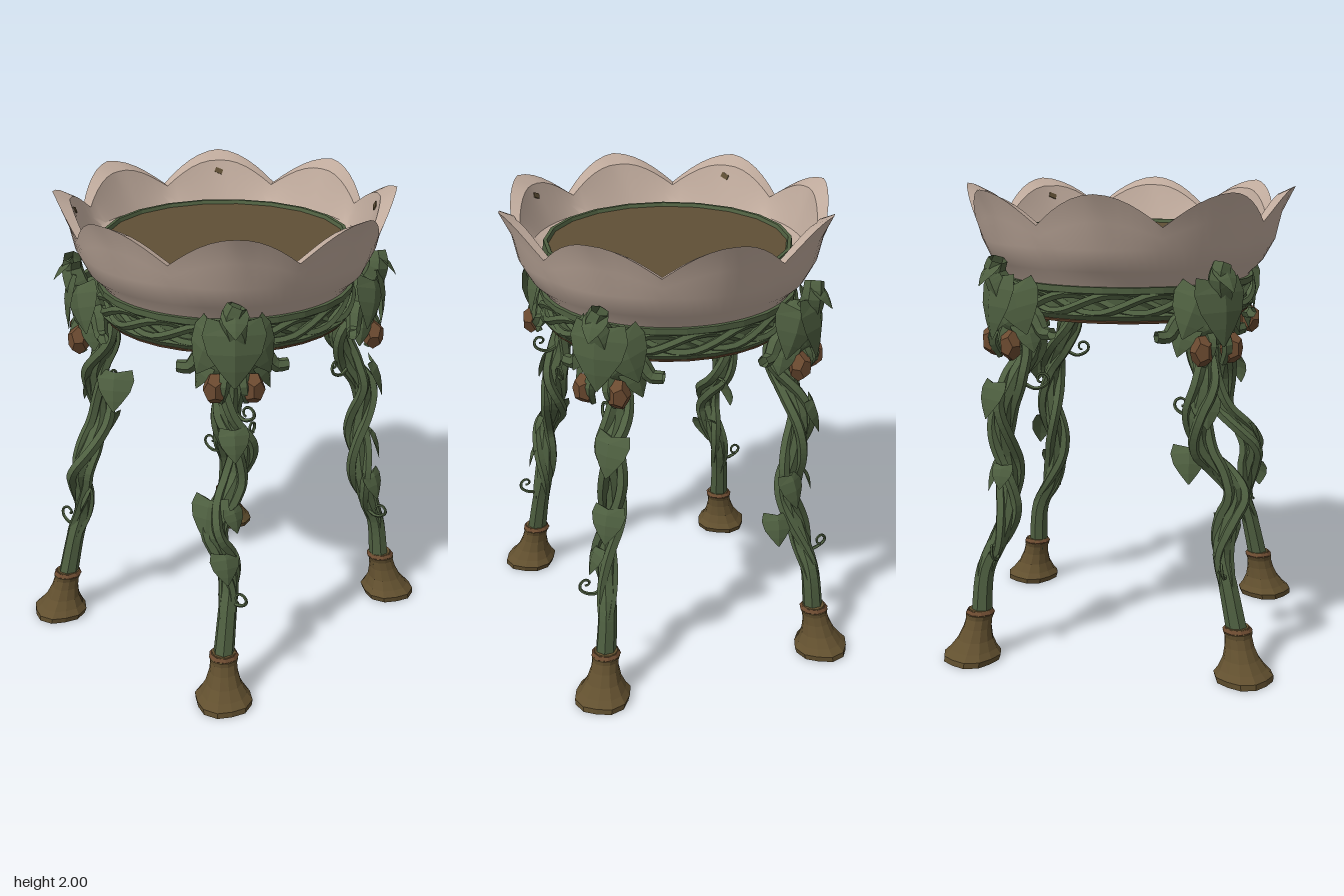
import * as THREE from 'three';
import { toCreasedNormals } from 'three/addons/utils/BufferGeometryUtils.js';

const mat = (name, color) => {
  const m = new THREE.MeshStandardMaterial({ color, side: THREE.DoubleSide });
  m.name = name;
  return m;
};
const V = (x, y, z) => new THREE.Vector3(x, y, z);

const flat = (g) => {
  const f = g.index ? g.toNonIndexed() : g;
  f.computeVertexNormals();
  return f;
};

const lathe = (profile, sides) => new THREE.LatheGeometry(profile.map((p) => new THREE.Vector2(...p)), sides);

function add(parent, name, geometry, material) {
  const m = new THREE.Mesh(geometry, material);
  m.name = name;
  parent.add(m);
  return m;
}

// Tube whose thickness follows radiusAt(t)
function taperedTube(points, radiusAt, segs = 24, sides = 6, closed = false) {
  const curve = new THREE.CatmullRomCurve3(points, closed);
  const g = new THREE.TubeGeometry(curve, segs, 1, sides, closed);
  const p = g.attributes.position, v = V(0, 0, 0);
  for (let i = 0; i < p.count; i++) {
    const t = Math.floor(i / (sides + 1)) / segs;
    const c = curve.getPointAt(closed ? t % 1 : t);
    v.fromBufferAttribute(p, i).sub(c).multiplyScalar(radiusAt(t)).add(c);
    p.setXYZ(i, v.x, v.y, v.z);
  }
  return flat(g);
}

// Heart-shaped leaf hanging down, folded on its midrib, facing +z
function leafGeometry(size) {
  const widths = [0.12, 0.42, 0.5, 0.42, 0.24, 0.02];
  const heights = [0.04, 0.12, -0.15, -0.45, -0.72, -1];
  const pos = [], idx = [];
  widths.forEach((w, i) => {
    const bend = Math.sin(i / 5 * Math.PI) * 0.14;
    const mid = i === 0 ? 0 : heights[i] - (i === 1 ? 0.1 : 0);
    pos.push(-w, heights[i], bend - w * 0.3, 0, mid, bend, w, heights[i], bend - w * 0.3);
  });
  for (let i = 0; i < 5; i++) for (let j = 0; j < 2; j++) {
    const a = i * 3 + j, b = a + 3;
    idx.push(a, b, a + 1, a + 1, b, b + 1);
  }
  const g = new THREE.BufferGeometry();
  g.setAttribute('position', new THREE.Float32BufferAttribute(pos, 3));
  g.setIndex(idx);
  return flat(g.scale(size, size, size));
}

// Bowl wall: one profile swept round, with a collar below and eight petals at the rim
function bowlGeometry() {
  const N = 96, pos = [], idx = [];
  const profile = (p) => {
    const h = 1.87 + 0.12 * Math.sin(p * Math.PI / 2) + 0.01 * p;
    return [[0.475, 1.66], [0.475, 1.54], [0.49, 1.53], [0.53, 1.635], [0.585, 1.69], [0.625 + 0.01 * p, 1.78],
      [0.64 + 0.02 * p, 1.78 + (h - 1.78) * 0.5], [0.655 + 0.06 * p, h], [0.62 + 0.025 * p, h - 0.005 - 0.03 * p],
      [0.6 + 0.01 * p, 1.79 + (h - 1.79) * 0.4], [0.57, 1.79], [0.515, 1.77], [0.47, 1.77]];
  };
  const rows = profile(0).length;
  for (let i = 0; i <= N; i++) {
    const a = i / N * Math.PI * 2;
    const p = Math.abs(((i / N * 8) % 1) - 0.5) * 2;
    for (const [r, y] of profile(p)) pos.push(Math.sin(a) * r, y, Math.cos(a) * r);
  }
  for (let i = 0; i < N; i++) for (let j = 0; j < rows - 1; j++) {
    const a = i * rows + j, b = a + rows;
    idx.push(a, b, a + 1, a + 1, b, b + 1);
  }
  const g = new THREE.BufferGeometry();
  g.setAttribute('position', new THREE.Float32BufferAttribute(pos, 3));
  g.setIndex(idx);
  return toCreasedNormals(g, 0.6);
}

export function createModel() {
  const petal = mat('pale petal', 0xbfaa9c);
  const green = mat('vine green', 0x4e5f40);
  const brown = mat('root brown', 0x62502f);
  const soil = mat('soil brown', 0x5f4f35);
  const rust = mat('rusty bark', 0x6b4a30);
  const model = new THREE.Group();
  model.name = 'plantStand';

  // Bowl, filling and inner trim
  add(model, 'petalBowl', bowlGeometry(), petal);
  add(model, 'filling', flat(new THREE.CylinderGeometry(0.507, 0.49, 0.15, 32)), soil).position.y = 1.725;
  const trim = [[0.49, 1.77], [0.525, 1.77], [0.52, 1.815], [0.505, 1.815], [0.495, 1.79]];
  add(model, 'innerTrim', flat(lathe(trim, 20)), green);

  // Supporting ring with woven vines
  const ring = [[0.485, 1.49], [0.53, 1.49], [0.545, 1.51], [0.52, 1.53], [0.52, 1.58], [0.545, 1.6], [0.545, 1.625], [0.485, 1.625], [0.485, 1.49]];
  add(model, 'ring', flat(lathe(ring, 28)), green);
  const band = new THREE.TorusGeometry(0.515, 0.012, 6, 32).rotateX(Math.PI / 2);
  add(model, 'ringLowerBand', flat(band), rust).position.y = 1.487;
  for (let k = 0; k < 3; k++) {
    const pts = [];
    for (let i = 0; i < 40; i++) {
      const a = i / 40 * Math.PI * 2, w = a * 6 + k * 2.1;
      const r = 0.525 + 0.012 * Math.cos(w);
      pts.push(V(Math.sin(a) * r, 1.555 + 0.04 * Math.sin(w), Math.cos(a) * r));
    }
    add(model, 'ringVine', taperedTube(pts, () => 0.018, 80, 5, true), green);
  }

  // Leg centre lines: height, then x for each side and z for front and back
  const ys = [0.17, 0.4, 0.52, 0.66, 0.76, 0.86, 0.96, 1.1, 1.22, 1.36, 1.5];
  const xs = {
    1: [0.49, 0.47, 0.455, 0.44, 0.42, 0.405, 0.41, 0.42, 0.37, 0.35, 0.38],
    '-1': [0.49, 0.47, 0.45, 0.42, 0.4, 0.39, 0.41, 0.43, 0.41, 0.35, 0.38],
  };
  const zs = {
    1: [0.56, 0.51, 0.48, 0.5, 0.525, 0.465, 0.385, 0.37, 0.39, 0.37, 0.38],
    '-1': [0.55, 0.53, 0.475, 0.435, 0.435, 0.445, 0.455, 0.45, 0.4, 0.34, 0.38],
  };

  function leaf(parent, x, y, z, yaw, size, pitch = -0.35, roll = 0) {
    const m = add(parent, 'leaf', leafGeometry(size), green);
    m.position.set(x, y, z);
    m.rotation.set(pitch, yaw, roll, 'YXZ');
  }

  // Curled tendril growing from a point towards a heading
  function tendril(x, y, z, yaw) {
    const pts = [V(-0.07, -0.03, 0), V(-0.03, -0.045, 0)];
    for (let i = 0; i < 9; i++) {
      const a = -1.2 + i * 0.75, r = 0.032 - i * 0.0025;
      pts.push(V(Math.cos(a) * r, Math.sin(a) * r, i * 0.003));
    }
    const m = add(model, 'tendril', taperedTube(pts, (t) => 0.009 - 0.004 * t, 24, 5), green);
    m.position.set(x, y, z);
    m.rotation.y = yaw;
  }

  for (const sx of [1, -1]) for (const sz of [1, -1]) {
    const leg = new THREE.Group();
    leg.name = (sz > 0 ? 'front' : 'back') + (sx > 0 ? 'Left' : 'Right') + 'Leg';
    model.add(leg);
    const path = ys.map((y, i) => V(sx * xs[sx][i], y, sz * zs[sz][i]));
    const curve = new THREE.CatmullRomCurve3(path);
    add(leg, 'stem', taperedTube(path, (t) => 0.046 - 0.012 * Math.sin(t * Math.PI), 36, 7), green);

    // Vines twisting round the stem
    for (let k = 0; k < 3; k++) {
      const pts = [];
      for (let i = 0; i <= 26; i++) {
        const t = 1 - 0.9 * (26 - i) / 26, a = t * 11 * sx * sz + k * 2.09;
        const r = 0.016 + 0.028 * Math.min(1, t * 2.2);
        pts.push(curve.getPointAt(t).add(V(Math.cos(a) * r, 0, Math.sin(a) * r)));
      }
      add(leg, 'twistedVine', taperedTube(pts, (t) => 0.012 + 0.012 * Math.min(1, t * 4), 56, 5), green);
    }

    // Flared root foot, leaning in towards the stem
    const foot = lathe([[0, 0], [0.118, 0], [0.122, 0.025], [0.1, 0.05], [0.076, 0.09], [0.061, 0.14], [0.057, 0.18], [0.062, 0.2], [0.05, 0.22], [0, 0.22]], 12);
    const p = foot.attributes.position;
    for (let i = 0; i < p.count; i++) {
      const y = p.getY(i), a = Math.atan2(p.getZ(i), p.getX(i));
      const s = 1 + 0.05 * Math.cos(a * 4 + 1) * (1 - y / 0.25);
      p.setXYZ(i, p.getX(i) * s + sx * (0.52 - 0.15 * y), y, p.getZ(i) * s + sz * (0.59 - 0.17 * y));
    }
    add(leg, 'foot', flat(foot), brown);
    const cuff = add(leg, 'footCuff', flat(new THREE.TorusGeometry(0.05, 0.014, 5, 9).rotateX(Math.PI / 2)), rust);
    cuff.position.set(sx * 0.489, 0.205, sz * 0.555);

    // Knotted leafy joint: local z points outward
    const joint = new THREE.Group();
    joint.name = 'leafyJoint';
    joint.rotation.y = Math.atan2(sx, sz);
    leg.add(joint);
    const knot = add(joint, 'knot', flat(new THREE.IcosahedronGeometry(0.1, 1)), green);
    knot.position.set(0, 1.5, 0.57);
    knot.scale.set(1.2, 1.3, 0.95);
    leaf(joint, 0, 1.64, 0.64, 0, 0.25, -0.15);
    for (const s of [1, -1]) {
      leaf(joint, s * 0.07, 1.61, 0.61, s * 0.7, 0.2, -0.2, s * 0.35);
      leaf(joint, s * 0.1, 1.48, 0.57, s * 1.1, 0.14, -0.3, s * 0.2);
      const stub = [V(s * 0.03, 1.53, 0.57), V(s * 0.12, 1.49, 0.54), V(s * 0.17, 1.43, 0.53), V(s * 0.22, 1.43, 0.52)];
      add(joint, 'sideStub', taperedTube(stub, (t) => 0.045 - 0.02 * t, 10), green);
      const bud = add(joint, 'barkBud', flat(new THREE.DodecahedronGeometry(0.055)), rust);
      bud.position.set(s * 0.075, 1.375, 0.63);
      bud.scale.set(0.9, 1.2, 0.9);
      const root = [V(s * 0.03, 1.47, 0.6), V(s * 0.04, 1.39, 0.65), V(s * 0.05, 1.31, 0.61)];
      add(joint, 'hangingRoot', taperedTube(root, (t) => 0.033 - 0.018 * t, 8, 5), green);
    }
    const horn = [V(0, 1.5, 0.58), V(0.01, 1.6, 0.63), V(-0.01, 1.67, 0.65), V(0.01, 1.72, 0.645)];
    add(joint, 'upperStub', taperedTube(horn, (t) => 0.07 - 0.03 * t, 12), green);
    leaf(joint, 0, 1.7, 0.66, 0, 0.11, -0.7);

    // Small bark fleck on the inside of the corner petal
    const fleck = add(joint, 'barkFleck', new THREE.BoxGeometry(0.035, 0.022, 0.009), soil);
    fleck.position.set(0, 1.92, 0.626);
    fleck.rotation.set(0.37, 0, 0.4);
  }

  // Leaves along the legs: x, y, z, heading, size
  [[0.38, 0.88, 0.51, 0.3, 0.17], [0.47, 0.67, 0.53, 1.1, 0.13], [0.43, 1.18, 0.43, 0.9, 0.13], [0.46, 0.85, 0.47, 1.4, 0.1],
    [-0.31, 1.2, 0.37, 0.5, 0.17], [-0.4, 0.95, 0.33, -1.4, 0.15], [-0.38, 0.67, 0.49, -0.8, 0.14], [-0.43, 1.17, 0.4, -1.2, 0.13],
    [0.44, 0.86, -0.49, 2.4, 0.15], [0.48, 0.67, -0.46, 1.6, 0.13], [0.42, 1.19, -0.5, 2.2, 0.17],
    [-0.34, 0.65, -0.45, 3.0, 0.14], [-0.37, 0.86, -0.49, 3.6, 0.15], [-0.45, 1.2, -0.48, 4.1, 0.15], [-0.46, 0.85, -0.45, 4.5, 0.1],
  ].forEach((l) => leaf(model, ...l));

  // Tendrils: x, y, z, heading
  [[0.54, 0.48, 0.5, 0], [0.47, 1.26, 0.38, 0], [0.4, 1.14, 0.3, Math.PI / 2],
    [-0.54, 0.48, 0.5, Math.PI], [-0.42, 1.14, 0.3, Math.PI / 2], [-0.54, 0.5, -0.47, Math.PI],
    [0.54, 0.5, -0.47, 0], [0.39, 1.22, -0.29, -Math.PI / 2], [-0.39, 1.22, -0.29, -Math.PI / 2],
  ].forEach((t) => tendril(...t));

  return model;
}
